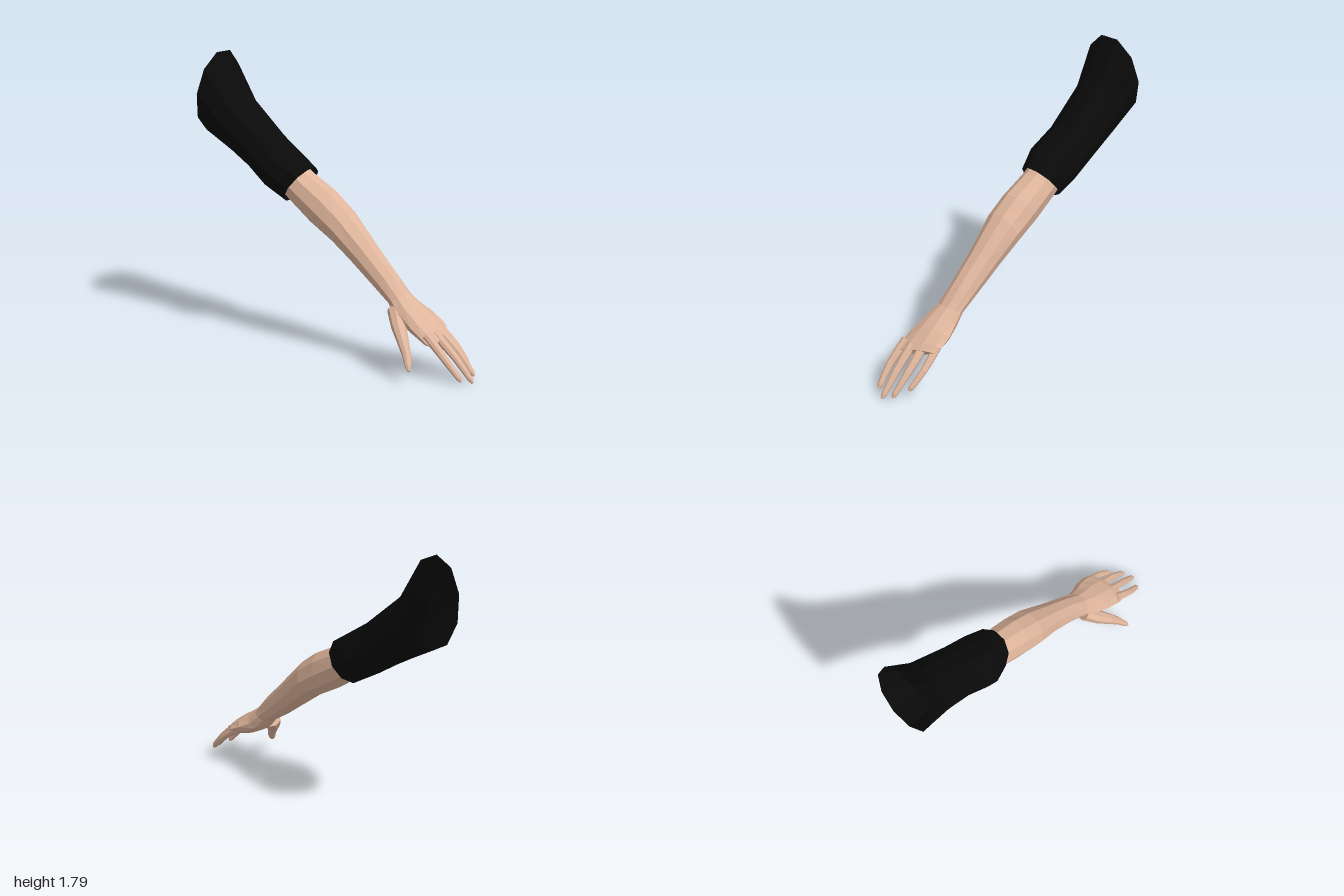
import * as THREE from 'three';

const V = (x, y, z) => new THREE.Vector3(x, y, z);

// Skin a list of rings (each { c, side, up }) into a faceted tube
function loft(rings, sides, capStart, capEnd) {
  const pos = [], index = [];
  for (const { c, side, up } of rings) {
    for (let i = 0; i < sides; i++) {
      const a = (i / sides) * Math.PI * 2;
      const p = c.clone().addScaledVector(side, Math.cos(a)).addScaledVector(up, Math.sin(a));
      pos.push(p.x, p.y, p.z);
    }
  }
  for (let k = 0; k < rings.length - 1; k++) {
    for (let i = 0; i < sides; i++) {
      const j = (i + 1) % sides;
      const a = k * sides + i, b = k * sides + j;
      index.push(a, b, b + sides, a, b + sides, a + sides);
    }
  }
  const last = (rings.length - 1) * sides;
  for (let i = 1; i < sides - 1; i++) {
    if (capStart) index.push(0, i + 1, i);
    if (capEnd) index.push(last, last + i, last + i + 1);
  }
  const g = new THREE.BufferGeometry();
  g.setAttribute('position', new THREE.Float32BufferAttribute(pos, 3));
  g.setIndex(index);
  const flat = g.toNonIndexed();
  flat.computeVertexNormals();
  return flat;
}

// Ring from its extents: x range, top point (z, y), bottom point (z, y), and a sideways skew
function section([x0, x1, zt, yt, zb, yb, skew = 0]) {
  return {
    c: V((x0 + x1) / 2, (yt + yb) / 2, (zt + zb) / 2),
    side: V((x1 - x0) / 2, skew * 0.8, -skew),
    up: V(0, (yt - yb) / 2, (zt - zb) / 2).divideScalar(0.951),
  };
}

// Tapered digit along a curve, with rounded tip
function digit(points, radius, tipRadius, flatness) {
  const curve = new THREE.CatmullRomCurve3(points.map((p) => V(...p)));
  const rings = [0, 0.25, 0.5, 0.75, 0.92, 1].map((t, i, all) => {
    const dir = curve.getTangent(t);
    const side = V(0, 0.7, 0.7).cross(dir).normalize();
    const up = dir.clone().cross(side).normalize();
    let r = THREE.MathUtils.lerp(radius, tipRadius, t);
    if (i === all.length - 1) r *= 0.5;
    return { c: curve.getPoint(t), side: side.multiplyScalar(r), up: up.multiplyScalar(r * flatness) };
  });
  return loft(rings, 8, true, true);
}

export function createModel() {
  const skin = new THREE.MeshStandardMaterial({ color: 0xdfb59c, flatShading: true });
  skin.name = 'skin';
  const cloth = new THREE.MeshStandardMaterial({ color: 0x0a0a0a, flatShading: true, side: THREE.DoubleSide });
  cloth.name = 'black cloth';

  const model = new THREE.Group();
  model.name = 'sleevedArm';
  const add = (name, geometry, material) => {
    const mesh = new THREE.Mesh(geometry, material);
    mesh.name = name;
    model.add(mesh);
  };

  // Open sleeve, cuff at the elbow and wide at the shoulder
  add('sleeve', loft([
    [-0.165, 0.25, -0.903, 1.8, -1.0, 1.3],
    [-0.125, 0.225, -0.757, 1.55, -0.81, 1.187],
    [-0.115, 0.21, -0.5, 1.325, -0.64, 1.08],
    [-0.14, 0.205, -0.34, 1.215, -0.5, 0.985],
    [-0.09, 0.178, -0.217, 1.13, -0.385, 0.914],
  ].map(section), 10, false, false), cloth);

  // Forearm from inside the sleeve to the wrist, running on into the palm
  add('forearmAndPalm', loft([
    [-0.06, 0.13, -0.58, 1.34, -0.68, 1.18],
    [-0.075, 0.155, -0.22, 1.095, -0.36, 0.925],
    [-0.085, 0.16, -0.056, 1.005, -0.2, 0.81],
    [-0.087, 0.157, 0.06, 0.914, -0.03, 0.71],
    [-0.065, 0.13, 0.25, 0.72, 0.1, 0.61],
    [-0.06, 0.112, 0.41, 0.56, 0.27, 0.48],
    [-0.068, 0.105, 0.5, 0.46, 0.39, 0.4],
    [-0.09, 0.118, 0.55, 0.425, 0.46, 0.32],
    [-0.115, 0.145, 0.63, 0.37, 0.56, 0.265, 0.015],
    [-0.125, 0.152, 0.72, 0.3, 0.66, 0.225, 0.035],
    [-0.115, 0.14, 0.755, 0.265, 0.715, 0.22, 0.035],
  ].map(section), 10, true, true), skin);

  // Four fingers: base, middle joint, tip
  const fingers = {
    indexFinger: [[-0.092, 0.275, 0.71], [-0.1, 0.155, 0.84], [-0.086, 0.038, 0.945]],
    middleFinger: [[-0.026, 0.275, 0.72], [-0.02, 0.15, 0.86], [-0.015, 0.016, 0.982]],
    ringFinger: [[0.045, 0.275, 0.7], [0.055, 0.155, 0.84], [0.047, 0.036, 0.952]],
    littleFinger: [[0.112, 0.28, 0.65], [0.126, 0.18, 0.77], [0.108, 0.078, 0.875]],
  };
  for (const [name, points] of Object.entries(fingers)) {
    add(name, digit(points, name === 'littleFinger' ? 0.028 : 0.031, 0.017, 0.9), skin);
  }

  // Thumb, spread from the heel of the palm
  add('thumb', digit([
    [-0.035, 0.37, 0.46], [-0.1, 0.295, 0.52], [-0.15, 0.235, 0.58],
    [-0.19, 0.165, 0.635], [-0.238, 0.09, 0.682],
  ], 0.058, 0.018, 0.9), skin);

  return model;
}
